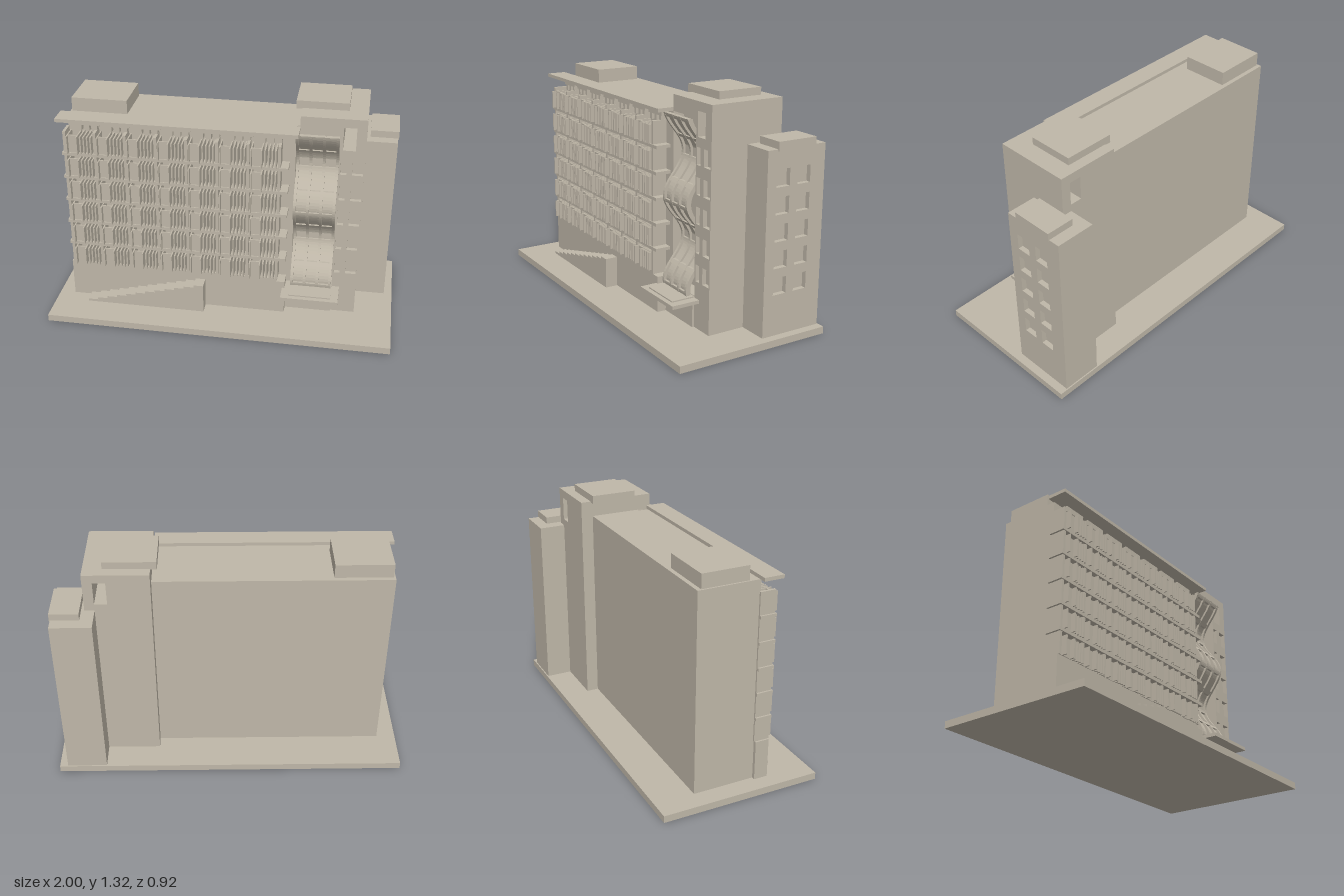
import * as THREE from 'three';

const stone = new THREE.MeshStandardMaterial({ color: 0xbfb7a8 });
stone.name = 'warm grey stone';

export function createModel() {
  const model = new THREE.Group();
  model.name = 'apartmentBuilding';

  const add = (name, geo, parent = model) => {
    const mesh = new THREE.Mesh(geo, stone);
    mesh.name = name;
    parent.add(mesh);
    return mesh;
  };
  const group = (name) => {
    const g = new THREE.Group();
    g.name = name;
    model.add(g);
    return g;
  };
  // Box given by its limits on each axis
  const box = (name, x0, x1, y0, y1, z0, z1, parent) =>
    add(name, new THREE.BoxGeometry(x1 - x0, y1 - y0, z1 - z0)
      .translate((x0 + x1) / 2, (y0 + y1) / 2, (z0 + z1) / 2), parent);
  const rect = (x0, x1, y0, y1) => [[x0, y0], [x1, y0], [x1, y1], [x0, y1]];
  const points = (list) => list.map(([x, y]) => new THREE.Vector2(x, y));
  // Extruded outline with holes
  const plate = (outline, holes, depth) => {
    const shape = new THREE.Shape(points(outline));
    shape.holes = holes.map((h) => new THREE.Path(points(h)));
    return new THREE.ExtrudeGeometry(shape, { depth, bevelEnabled: false });
  };

  // Ground and main block
  box('basePlate', -1, 1, 0, 0.04, -0.46, 0.46);
  box('mainBlock', -0.89, 0.42, 0.04, 1.19, -0.23, 0.06);
  box('mainFrontWall', -0.89, 0.4, 0.04, 1.19, 0.06, 0.125);
  box('lowerFrontWall', -0.91, 0.32, 0.04, 0.27, 0.125, 0.205);
  box('roofSlab', -0.93, 0.42, 1.19, 1.21, 0.12, 0.235);
  box('roofHut', -0.88, -0.56, 1.19, 1.27, -0.205, 0.065);

  // Balcony grid: slabs, dividing fins, projecting boxes and slats
  const balconies = group('balconies');
  const pitch = 0.173, firstX = -0.892;
  for (let floor = 0; floor < 6; floor++) {
    const y = 0.27 + floor * 0.1455;
    if (floor > 0) box('balconySlab', -0.91, 0.37, y - 0.018, y, 0.12, 0.215, balconies);
    for (let i = 0; i < 8; i++) {
      const x = firstX + i * pitch;
      box('dividerFin', x - 0.008, x + 0.008, y, y + 0.127, 0.12, 0.21, balconies);
      if (i === 7) continue;
      // Open-topped balcony box
      box('balconySide', x + 0.015, x + 0.022, y, y + 0.106, 0.12, 0.235, balconies);
      box('balconySide', x + 0.073, x + 0.08, y, y + 0.106, 0.12, 0.235, balconies);
      box('balconyFront', x + 0.022, x + 0.073, y, y + 0.106, 0.2, 0.208, balconies);
      for (const dx of [0.095, 0.115, 0.135, 0.154]) {
        box('balconySlat', x + dx - 0.004, x + dx + 0.004, y, y + 0.106, 0.12, 0.225, balconies);
      }
    }
  }

  // Brackets below the roof slab
  const brackets = group('roofBrackets');
  for (let i = 0; i < 7; i++) {
    const x = firstX + 0.06 + i * pitch;
    box('bracketBeam', x, x + 0.135, 1.15, 1.182, 0.12, 0.165, brackets);
    for (const dx of [0.01, 0.055, 0.1]) {
      box('bracketLeg', x + dx, x + dx + 0.02, 1.115, 1.15, 0.12, 0.16, brackets);
    }
  }

  // Side stair against the lower wall
  const stairShape = [[-0.1, 0.04]];
  for (let i = 11; i >= 0; i--) {
    const x = -0.803 + i * 0.0587, y = 0.04 + (i + 1) * 0.015;
    stairShape.push([x + 0.0587, y], [x, y]);
  }
  stairShape.push([-0.803, 0.04]);
  stairShape[1][0] = -0.1;
  add('stair', plate(stairShape, [], 0.08).translate(0, 0, 0.2));

  // Tower with a through opening, small windows and a recess for the wavy facade
  const tower = group('tower');
  const opening = rect(0.655, 0.725, 1.095, 1.23);
  const notched = [[0.42, 0.04], [0.78, 0.04], [0.78, 1.28], [0.42, 1.28],
    [0.42, 1.19], [0.64, 1.19], [0.64, 0.22], [0.42, 0.22]];
  const windows = [];
  for (let i = 0; i < 5; i++) {
    const y = 0.307 + i * 0.16;
    windows.push(rect(0.648, 0.682, y, y + 0.095), rect(0.713, 0.773, y, y + 0.095));
  }
  add('towerBody', plate(rect(0.42, 0.78, 0.04, 1.28), [opening], 0.36).translate(0, 0, -0.3), tower);
  add('towerRecess', plate(notched, [opening], 0.055).translate(0, 0, 0.06), tower);
  add('towerFront', plate(notched, [opening, ...windows], 0.025).translate(0, 0, 0.115), tower);
  box('towerCap', 0.385, 0.675, 1.275, 1.322, -0.24, 0.025, tower);

  // Wavy facade: strips following a vertical wave
  const facade = group('wavyFacade');
  const wave = (y) => 0.128 + 0.06 * Math.cos((2 * Math.PI * (y - 0.73)) / 0.48);
  const strip = (name, x0, x1, y0, y1, back, front) => {
    const n = Math.max(2, Math.round((y1 - y0) * 60));
    const inner = [], outer = [];
    for (let i = 0; i <= n; i++) {
      const y = y0 + ((y1 - y0) * i) / n;
      outer.push([wave(y) + front, y]);
      inner.unshift([wave(y) + back, y]);
    }
    add(name, plate([...outer, ...inner], [], x1 - x0).rotateY(-Math.PI / 2).translate(x1, 0, 0), facade);
  };
  strip('facadeGlass', 0.405, 0.635, 0.225, 1.185, -0.025, -0.012);
  for (let i = 0; i < 4; i++) {
    const x = 0.408 + i * 0.0735;
    strip('facadeMullion', x - 0.008, x + 0.008, 0.225, 1.187, -0.02, 0.004);
  }
  for (let i = 0; i < 9; i++) {
    const y = 0.235 + i * 0.1175;
    strip('facadeRail', 0.4, 0.636, y - 0.01, y + 0.01, -0.02, 0.002);
  }

  // Entrance
  box('entranceWall', 0.37, 0.64, 0.04, 0.19, 0.06, 0.152);
  box('entrancePillar', 0.315, 0.37, 0.04, 0.25, 0.12, 0.205);
  box('canopy', 0.355, 0.685, 0.19, 0.21, 0.12, 0.307);
  box('canopyTop', 0.4, 0.64, 0.21, 0.217, 0.12, 0.28);

  // Side annex with recessed windows facing +x
  const annex = group('annex');
  const sideWindows = [];
  for (let i = 0; i < 5; i++) {
    const y = 0.27 + i * 0.1465;
    sideWindows.push(rect(0.143, 0.227, y, y + 0.094), rect(0.276, 0.36, y, y + 0.094));
  }
  box('annexBody', 0.725, 0.925, 0.04, 1.055, -0.453, -0.083, annex);
  add('annexSideWall', plate(rect(0.083, 0.453, 0.04, 1.055), sideWindows, 0.028)
    .rotateY(Math.PI / 2).translate(0.925, 0, 0), annex);
  box('annexCap', 0.798, 0.958, 1.045, 1.095, -0.387, -0.147, annex);

  return model;
}
